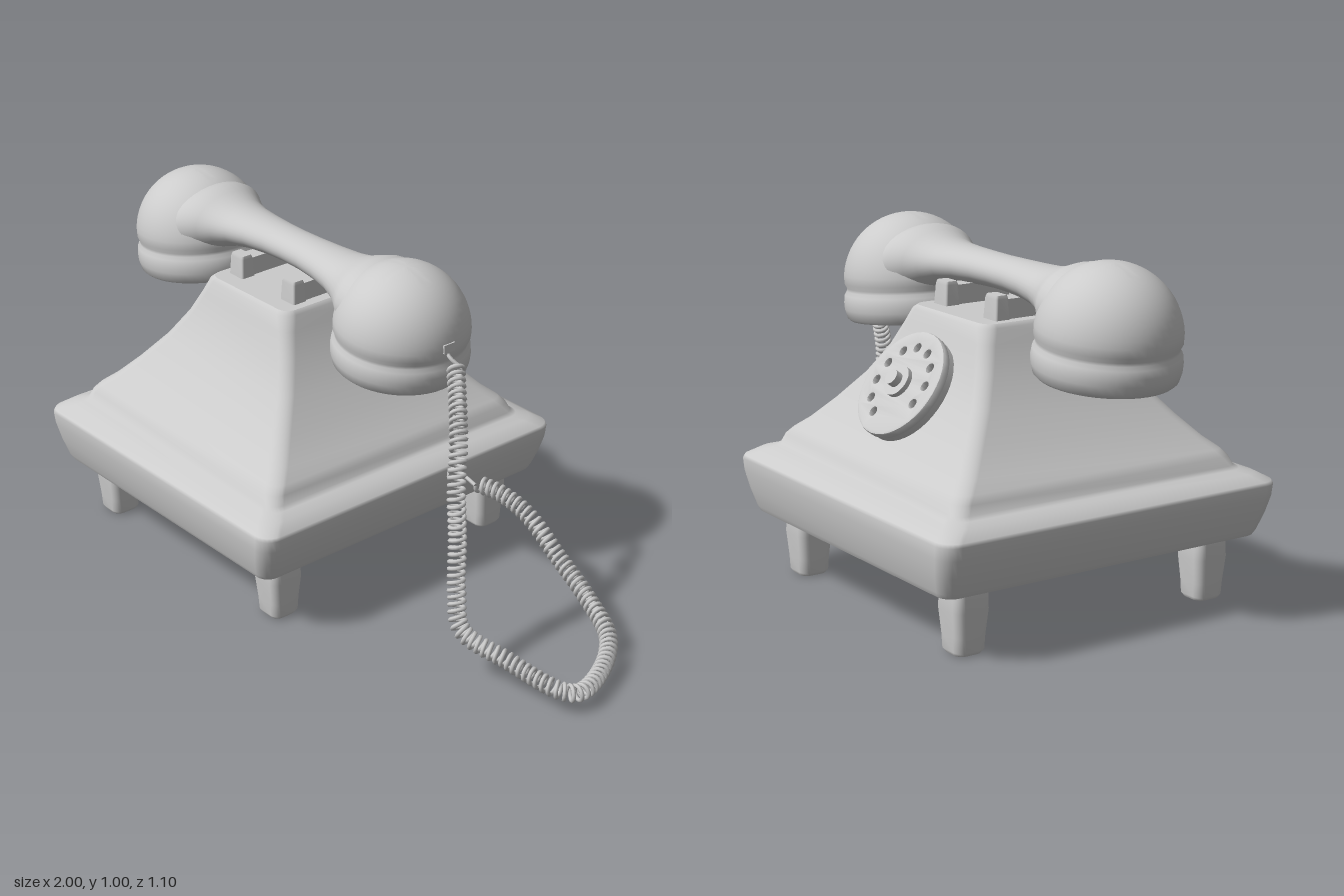
import * as THREE from 'three';
import { toCreasedNormals } from 'three/addons/utils/BufferGeometryUtils.js';

const V = (x, y, z) => new THREE.Vector3(x, y, z);
const CX = -0.335; // centre of the body and handset on x

// Skin a list of equal-length closed rings, with flat caps on both ends
function loft(rings) {
  const n = rings[0].length, pos = [], idx = [];
  rings.forEach(r => r.forEach(p => pos.push(p.x, p.y, p.z)));
  for (let i = 0; i < rings.length - 1; i++) {
    for (let j = 0; j < n; j++) {
      const a = i * n + j, b = i * n + (j + 1) % n;
      idx.push(a, b, a + n, b, b + n, a + n);
    }
  }
  [rings[0], rings[rings.length - 1]].forEach((r, end) => {
    const start = pos.length / 3, c = V(0, 0, 0);
    r.forEach(p => { pos.push(p.x, p.y, p.z); c.addScaledVector(p, 1 / n); });
    pos.push(c.x, c.y, c.z);
    for (let j = 0; j < n; j++) {
      const a = start + j, b = start + (j + 1) % n;
      if (end) idx.push(a, b, start + n); else idx.push(b, a, start + n);
    }
  });
  const g = new THREE.BufferGeometry();
  g.setAttribute('position', new THREE.Float32BufferAttribute(pos, 3));
  g.setIndex(idx);
  g.computeVertexNormals();
  return g;
}

// Horizontal rounded rectangle
function roundedRing(hx, hz, r, y) {
  const ring = [];
  [[1, 1], [-1, 1], [-1, -1], [1, -1]].forEach(([sx, sz], q) => {
    for (let k = 0; k <= 6; k++) {
      const t = (q + k / 6) * Math.PI / 2;
      ring.push(V(sx * (hx - r) + r * Math.cos(t), y, -(sz * (hz - r) + r * Math.sin(t))));
    }
  });
  return ring;
}

export function createModel() {
  const model = new THREE.Group();
  const mat = new THREE.MeshStandardMaterial({ color: 0xcccccc });
  const add = (name, geo, x = 0, y = 0, z = 0, parent = model) => {
    const m = new THREE.Mesh(geo, mat);
    m.name = name;
    m.position.set(x, y, z);
    parent.add(m);
    return m;
  };

  // Body: flared housing on a square base [y, half x, half z, corner radius]
  const profile = [
    [0.185, 0.492, 0.518, 0.04], [0.2, 0.502, 0.526, 0.045], [0.25, 0.522, 0.54, 0.05],
    [0.3, 0.536, 0.549, 0.05], [0.335, 0.54, 0.551, 0.05], [0.345, 0.536, 0.547, 0.05],
    [0.367, 0.505, 0.51, 0.05], [0.376, 0.475, 0.48, 0.045], [0.385, 0.462, 0.466, 0.04],
    [0.41, 0.453, 0.455, 0.04], [0.43, 0.438, 0.437, 0.04], [0.46, 0.405, 0.402, 0.04],
    [0.52, 0.352, 0.348, 0.04], [0.6, 0.29, 0.284, 0.04], [0.68, 0.24, 0.238, 0.04],
    [0.75, 0.206, 0.21, 0.04], [0.79, 0.19, 0.194, 0.04], [0.8, 0.178, 0.182, 0.035],
  ];
  add('body', loft(profile.map(([y, hx, hz, r]) => roundedRing(hx, hz, r, y))), CX);

  // Legs
  const legGeo = loft([[0, 0.04], [0.01, 0.046], [0.05, 0.048], [0.12, 0.054], [0.16, 0.053], [0.19, 0.05]]
    .map(([y, h]) => roundedRing(h, h, 0.024, y)));
  for (const sx of [-1, 1]) for (const sz of [-1, 1]) add('leg', legGeo, CX + sx * 0.395, 0, sz * 0.4);

  // Cradle: two pairs of tapered prongs joined by low bars
  const prongGeo = loft([[0, 0.032, 0.024], [0.06, 0.029, 0.02], [0.07, 0.026, 0.017]]
    .map(([y, hx, hz]) => roundedRing(hx, hz, 0.006, y)));
  for (const sx of [-1, 1]) {
    for (const sz of [-1, 1]) add('cradleProng', prongGeo, CX + sx * 0.12, 0.797, sz * 0.108);
    add('cradleBar', new THREE.BoxGeometry(0.05, 0.06, 0.2), CX + sx * 0.12, 0.825, 0);
  }

  // Handset grip: elliptical sections [distance from middle, top, bottom, half depth]
  const half = [
    [0, 0.944, 0.85, 0.066], [0.08, 0.945, 0.848, 0.068], [0.16, 0.946, 0.842, 0.077],
    [0.23, 0.948, 0.83, 0.09], [0.28, 0.955, 0.812, 0.106], [0.32, 0.968, 0.79, 0.128],
    [0.36, 0.981, 0.765, 0.153], [0.41, 0.975, 0.75, 0.16],
  ];
  const sections = [...half.slice(1).reverse().map(([d, ...s]) => [-d, ...s]), ...half];
  add('handsetGrip', loft(sections.map(([d, top, bottom, rz]) => Array.from({ length: 36 }, (_, k) => {
    const t = k / 36 * Math.PI * 2;
    return V(d, (top + bottom) / 2 + (top - bottom) / 2 * Math.cos(t), rz * Math.sin(t));
  }))), CX);

  // Earpiece and mouthpiece: domed cups with a grooved, hollow skirt
  const cup = [[0, -0.085], [0.15, -0.085], [0.158, -0.112], [0.182, -0.114], [0.191, -0.106],
    [0.198, -0.08], [0.199, -0.06], [0.196, -0.038], [0.189, -0.027], [0.189, -0.018], [0.195, -0.005]]
    .map(p => new THREE.Vector2(...p));
  for (let k = 1; k <= 16; k++) {
    const t = k / 16 * Math.PI / 2;
    cup.push(new THREE.Vector2(k === 16 ? 0 : 0.196 * Math.cos(t), 0.195 * Math.sin(t)));
  }
  const cupGeo = toCreasedNormals(new THREE.LatheGeometry(cup, 48), 0.65);
  for (const s of [-1, 1]) {
    add(s < 0 ? 'earpiece' : 'mouthpiece', cupGeo, CX + s * 0.47, 0.805, 0).rotation.z = -s * 0.09;
  }

  // Rotary dial, built facing +z and then turned onto the sloping back
  const dial = new THREE.Group();
  dial.name = 'dial';
  const plate = new THREE.Shape().absarc(0, 0, 0.153, 0, Math.PI * 2);
  for (let k = 0; k < 10; k++) {
    const t = -0.4 + k * Math.PI / 6;
    plate.holes.push(new THREE.Path().absarc(0.108 * Math.cos(t), 0.108 * Math.sin(t), 0.018, 0, Math.PI * 2, true));
  }
  const plateGeo = new THREE.ExtrudeGeometry(plate, {
    depth: 0.016, bevelSize: 0.005, bevelThickness: 0.005, bevelSegments: 2, curveSegments: 20,
  });
  add('fingerWheel', toCreasedNormals(plateGeo, 0.6), 0, 0, -0.021, dial);
  const disc = (name, r, depth, z) =>
    add(name, new THREE.CylinderGeometry(r, r, depth, 40), 0, 0, z, dial).rotation.x = Math.PI / 2;
  disc('dialBase', 0.155, 0.024, -0.032);
  disc('dialMount', 0.12, 0.06, -0.065);
  disc('dialHub', 0.045, 0.016, 0.006);
  disc('dialKnob', 0.022, 0.03, 0.02);
  dial.position.set(CX, 0.63, -0.34);
  dial.lookAt(CX, 0.63 + 0.6, -0.34 - 0.8);
  model.add(dial);

  // Coiled cord: a helix wound around a hanging path
  const path = new THREE.CatmullRomCurve3([
    V(0.36, 0.765, 0), V(0.49, 0.635, 0.107), V(0.545, 0.5, 0.162), V(0.567, 0.38, 0.175),
    V(0.605, 0.24, 0.21), V(0.65, 0.15, 0.23), V(0.78, 0.095, 0.18), V(0.94, 0.064, 0.14),
    V(0.968, 0.052, 0.1), V(0.94, 0.047, -0.01), V(0.85, 0.066, -0.14), V(0.72, 0.11, -0.19),
    V(0.58, 0.178, -0.207), V(0.46, 0.265, -0.2), V(0.36, 0.3, -0.185), V(0.29, 0.308, -0.165),
  ]);
  const turns = 104, steps = turns * 14;
  const frames = path.computeFrenetFrames(steps, false);
  const coil = Array.from({ length: steps + 1 }, (_, i) => {
    const t = i / 14 * Math.PI * 2;
    return path.getPointAt(i / steps)
      .addScaledVector(frames.normals[i], 0.021 * Math.cos(t))
      .addScaledVector(frames.binormals[i], 0.021 * Math.sin(t));
  });
  const wire = (name, points, n, r) => {
    const curve = new THREE.CatmullRomCurve3(points);
    curve.arcLengthDivisions = n * 3;
    add(name, new THREE.TubeGeometry(curve, n, r, 6), 0, 0, 0);
  };
  wire('coiledCord', coil, steps, 0.0062);

  // Straight cord ends and their sockets
  wire('handsetCordEnd', [V(0.315, 0.8, 0), V(0.34, 0.782, 0), coil[0]], 10, 0.006);
  wire('bodyCordEnd', [V(0.19, 0.325, -0.14), V(0.25, 0.324, -0.145), coil[steps]], 10, 0.006);
  add('handsetSocket', new THREE.BoxGeometry(0.03, 0.025, 0.04), 0.319, 0.813, 0);
  add('bodySocket', new THREE.BoxGeometry(0.03, 0.026, 0.042), 0.196, 0.325, -0.14);

  return model;
}
